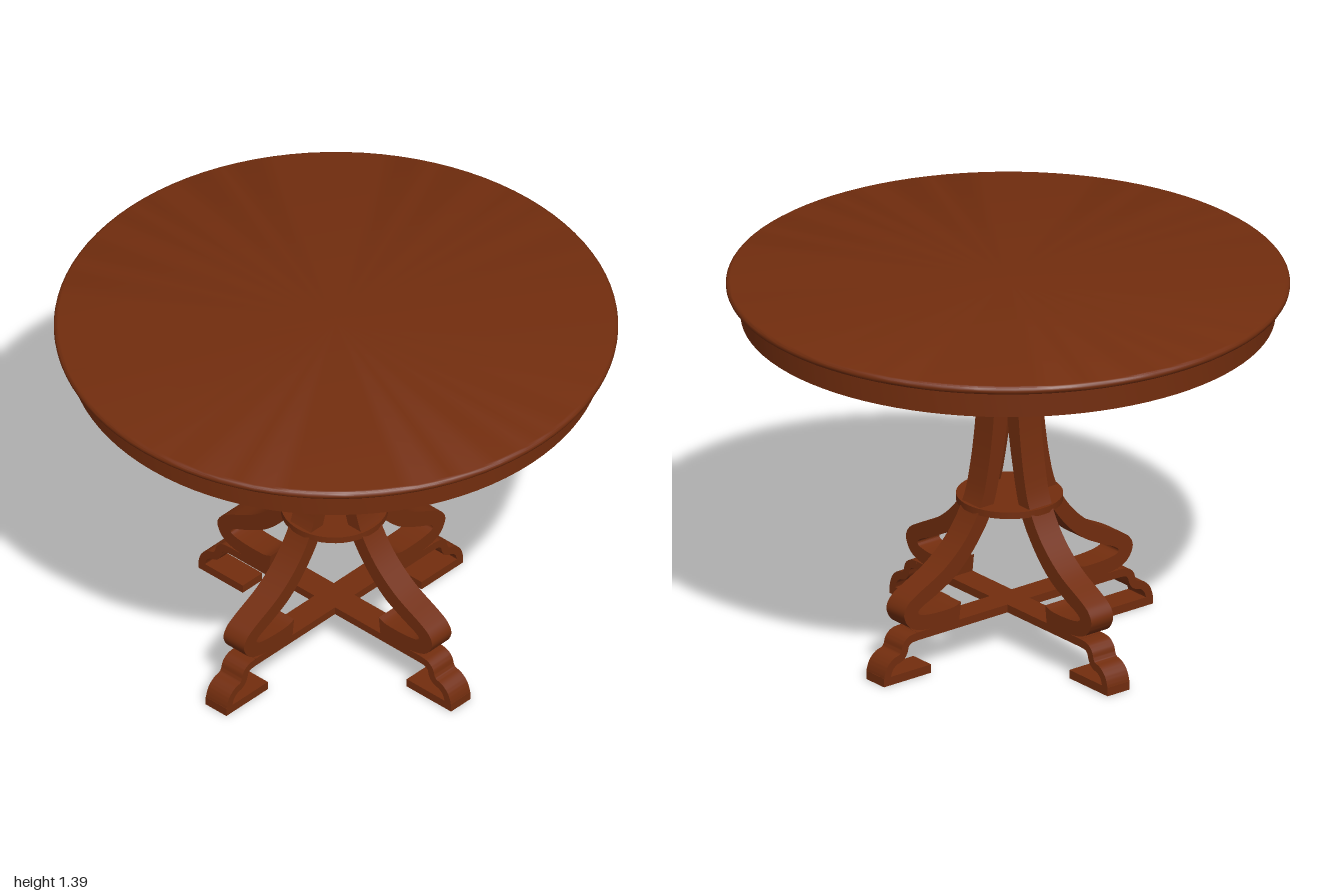
import * as THREE from 'three';
import { toCreasedNormals } from 'three/addons/utils/BufferGeometryUtils.js';

const WIDTH = 0.1; // width of legs and feet

// Smooth curve through [radius, height] points
const smooth = (pts, n) =>
  new THREE.SplineCurve(pts.map(([x, y]) => new THREE.Vector2(x, y))).getPoints(n);

// Extrude a radial profile, centred on its width
function slab(outline) {
  const geo = new THREE.ExtrudeGeometry(new THREE.Shape(outline), {
    depth: WIDTH, bevelEnabled: false,
  });
  geo.translate(0, 0, -WIDTH / 2);
  return toCreasedNormals(geo, 0.6);
}

// Outline of a strip of even thickness along a centre line
function strip(line, thickness) {
  const a = [], b = [];
  line.forEach((p, i) => {
    const t = line[Math.min(i + 1, line.length - 1)].clone().sub(line[Math.max(i - 1, 0)]).normalize();
    const n = new THREE.Vector2(-t.y, t.x).multiplyScalar(thickness / 2);
    a.push(p.clone().add(n));
    b.push(p.clone().sub(n));
  });
  return [...a, ...b.reverse()];
}

export function createModel() {
  const table = new THREE.Group();
  table.name = 'roundTable';
  const wood = new THREE.MeshStandardMaterial({ color: 0x722d0e });
  wood.name = 'reddish brown wood';

  const add = (parent, name, geo) => {
    const mesh = new THREE.Mesh(geo, wood);
    mesh.name = name;
    parent.add(mesh);
    return mesh;
  };
  const lathe = (pts) => toCreasedNormals(
    new THREE.LatheGeometry(pts.map(([x, y]) => new THREE.Vector2(x, y)), 96), 0.7);

  // Table top with a rounded edge
  const edge = [];
  for (let i = 0; i <= 8; i++) {
    const a = -Math.PI / 2 + (i / 8) * Math.PI;
    edge.push([0.984 + 0.016 * Math.cos(a), 1.374 + 0.016 * Math.sin(a)]);
  }
  add(table, 'tableTop', lathe([[0, 1.358], ...edge, [0, 1.39]]));

  // Hollow apron ring just beneath the top
  add(table, 'apron', lathe([
    [0.92, 1.255], [0.948, 1.255], [0.948, 1.352], [0.92, 1.352], [0.92, 1.255],
  ]));

  const base = new THREE.Group();
  base.name = 'pedestal';
  base.position.set(-0.004, 0, 0.004);
  table.add(base);

  // Round shelf joining the legs
  const shelf = add(base, 'shelf', new THREE.CylinderGeometry(0.19, 0.19, 0.025, 48));
  shelf.position.y = 0.56;

  // Curved leg ending in an inward scroll
  const outer = smooth([
    [0.135, 1.358], [0.117, 1.25], [0.106, 1.1], [0.106, 1.0], [0.118, 0.85], [0.14, 0.7],
    [0.172, 0.58], [0.24, 0.47], [0.34, 0.38], [0.46, 0.316], [0.505, 0.285],
    [0.521, 0.245], [0.495, 0.198], [0.44, 0.175], [0.36, 0.168], [0.27, 0.168],
  ], 90);
  const inner = smooth([
    [0.262, 0.236], [0.3, 0.224], [0.38, 0.224], [0.44, 0.232], [0.457, 0.246],
    [0.435, 0.265], [0.37, 0.295], [0.28, 0.347], [0.19, 0.44], [0.118, 0.56],
    [0.075, 0.73], [0.052, 0.87], [0.044, 1.0], [0.046, 1.1], [0.058, 1.25], [0.075, 1.358],
  ], 90);
  const legGeo = slab([...outer, ...inner]);

  // Foot strip: straight bar, then a stepped curve down to the floor
  const bend = smooth([
    [0.46, 0.155], [0.492, 0.151], [0.512, 0.135], [0.52, 0.11], [0.534, 0.093],
    [0.562, 0.084], [0.584, 0.065], [0.595, 0.04], [0.598, 0.02],
  ], 40);
  const footGeo = slab(strip(bend, 0.03));
  const padGeo = new THREE.BoxGeometry(0.215, 0.032, WIDTH);

  for (let i = 0; i < 4; i++) {
    const arm = new THREE.Group();
    arm.name = 'legAssembly' + (i + 1);
    arm.rotation.y = (i * Math.PI) / 2;
    base.add(arm);
    add(arm, 'leg', legGeo);
    add(arm, 'footCurve', footGeo);
    add(arm, 'footPad', padGeo).position.set(0.5055, 0.016, 0);
  }

  // Crossed stretchers between opposite feet
  const barGeo = new THREE.BoxGeometry(0.92, 0.03, WIDTH);
  for (let i = 0; i < 2; i++) {
    const bar = add(base, 'stretcher' + (i + 1), barGeo);
    bar.position.y = 0.155;
    bar.rotation.y = (i * Math.PI) / 2;
  }
  return table;
}
